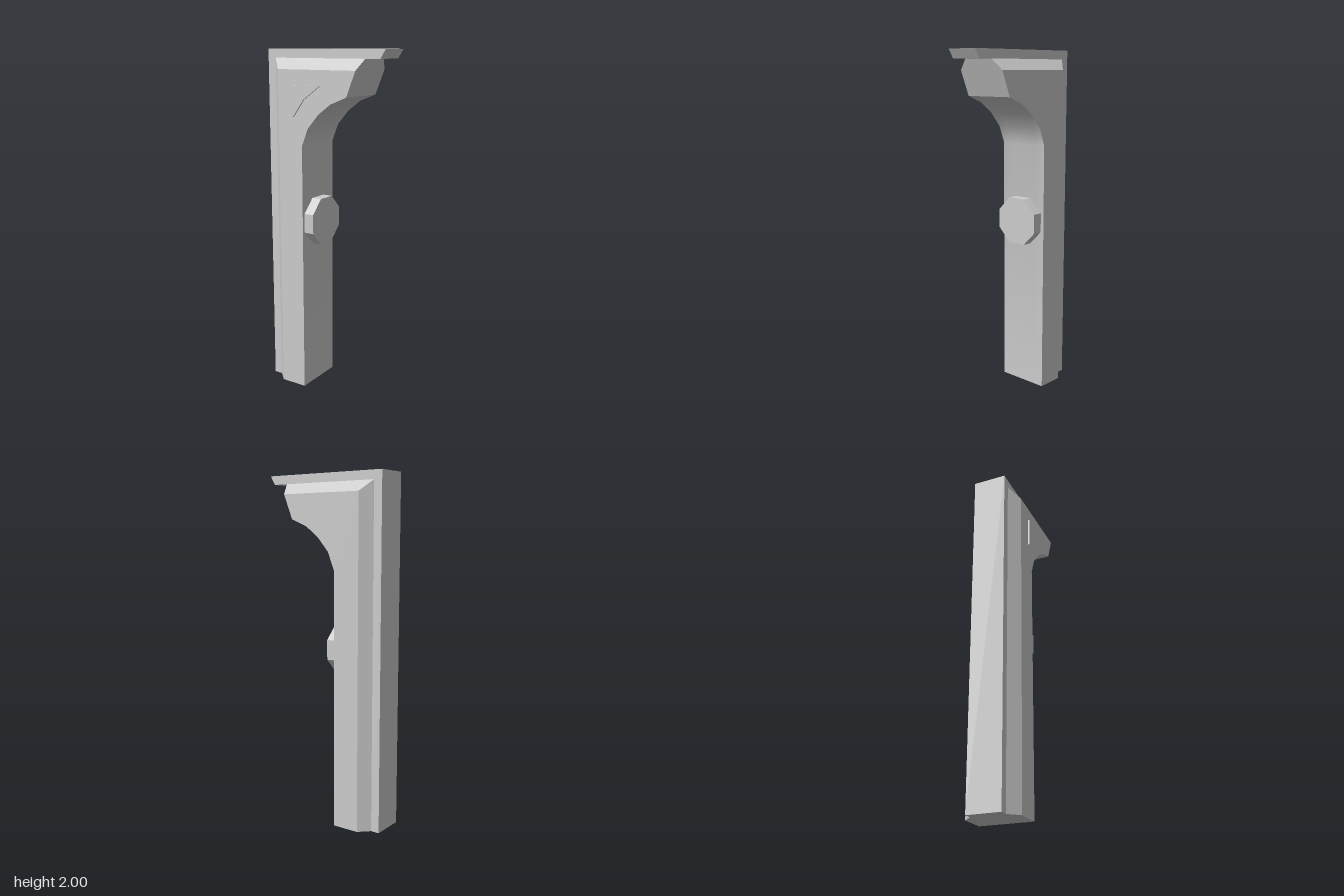
import * as THREE from 'three';
import { toCreasedNormals } from 'three/addons/utils/BufferGeometryUtils.js';

const material = new THREE.MeshStandardMaterial({ color: 0xcccccc });

function outline(points) {
  return new THREE.Shape(points.map(([x, y]) => new THREE.Vector2(x, y)));
}

function slab(points, zBack, zFront) {
  const geometry = new THREE.ExtrudeGeometry(outline(points), { depth: zFront - zBack, bevelEnabled: false });
  return geometry.translate(0, 0, zBack);
}

// Post and bracket: four cross-sections, the two middle ones wider along the outer edges
function postGeometry() {
  const geometry = new THREE.ExtrudeGeometry(outline([
    [-0.27, 0], [-0.11, 0], [-0.11, 1.47], [-0.07, 1.57], [0, 1.65],
    [0.08, 1.71], [0.18, 1.75], [0.236, 1.89], [-0.27, 1.89],
  ]), { depth: 3, steps: 3, bevelEnabled: false });
  const layers = [-0.16, -0.104, 0.09, 0.15];
  const p = geometry.attributes.position;
  for (let i = 0; i < p.count; i++) {
    const layer = Math.round(p.getZ(i));
    p.setZ(i, layers[layer]);
    if (layer === 1 || layer === 2) {
      if (p.getX(i) < -0.25) p.setX(i, -0.33);
      if (p.getX(i) > 0.2) p.setX(i, 0.26);
      if (p.getY(i) > 1.8) p.setY(i, 1.95);
    }
  }
  return toCreasedNormals(geometry, 0.5);
}

export function createModel() {
  const group = new THREE.Group();
  const add = (name, geometry) => {
    const mesh = new THREE.Mesh(geometry, material);
    mesh.name = name;
    group.add(mesh);
    return mesh;
  };

  add('postAndBracket', postGeometry());

  // L-shaped strip along the back of the post and the top, with a slanted tip
  add('backStrip', slab([
    [-0.38, 0], [-0.33, 0], [-0.33, 1.95], [0.35, 1.95], [0.38, 2], [-0.38, 2],
  ], -0.104, 0.09));

  // Raised corner plate on the front
  add('cornerPlate', slab([
    [-0.163, 1.63], [-0.09, 1.73], [0.015, 1.805], [-0.163, 1.805],
  ], 0.15, 0.16));

  // Eight-sided knob on the inner face of the post
  const knob = new THREE.CylinderGeometry(0.147, 0.147, 0.06, 8).rotateY(Math.PI / 8).rotateZ(-Math.PI / 2);
  add('knob', toCreasedNormals(knob, 0.5)).position.set(-0.08, 1.022, -0.004);

  return group;
}
